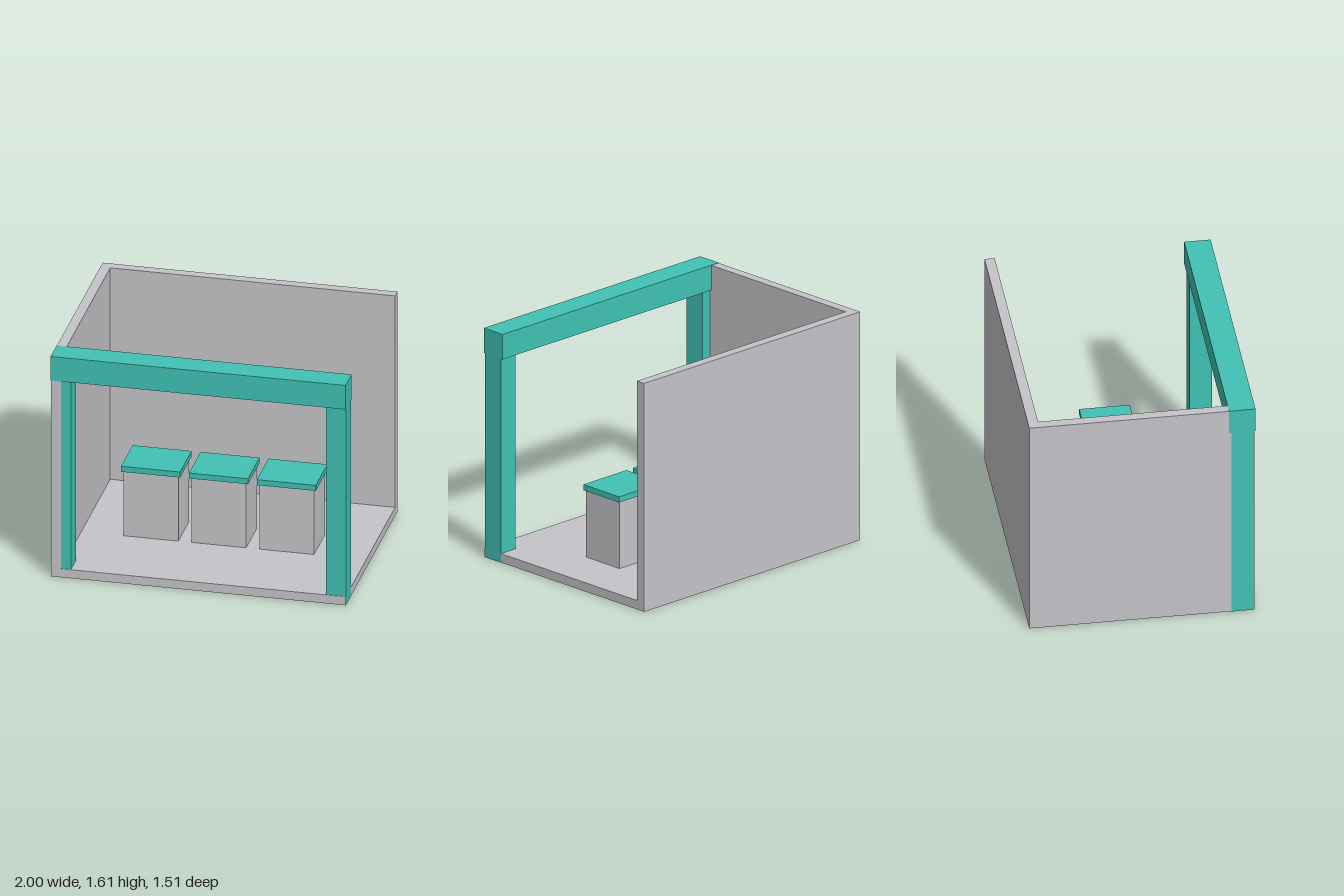
import * as THREE from 'three';

export function createModel() {
  const teal = new THREE.MeshStandardMaterial({ color: 0x41c2b4 });
  teal.name = 'teal';
  const grey = new THREE.MeshStandardMaterial({ color: 0xc5c5c9 });
  grey.name = 'light grey';

  const model = new THREE.Group();
  model.name = 'exhibitionBooth';

  // Adds a box given its [min, max] extent on each axis.
  function box(name, material, [x0, x1], [y0, y1], [z0, z1], parent = model) {
    const mesh = new THREE.Mesh(new THREE.BoxGeometry(x1 - x0, y1 - y0, z1 - z0), material);
    mesh.position.set((x0 + x1) / 2, (y0 + y1) / 2, (z0 + z1) / 2);
    mesh.name = name;
    parent.add(mesh);
  }

  // Floor slab and the two walls, a hair inside the frame so faces never coincide
  const floorTop = 0.063;
  box('floor', grey, [-0.999, 0.999], [0.001, floorTop], [-0.755, 0.749]);
  box('backWall', grey, [-0.999, 0.999], [floorTop, 1.603], [-0.755, -0.687]);
  box('sideWall', grey, [-0.999, -0.932], [floorTop, 1.603], [-0.687, 0.749]);

  // Front gateway: two posts carrying a beam
  const beamBottom = 1.43;
  box('rightPost', teal, [-1, -0.864], [0, beamBottom], [0.594, 0.745]);
  box('leftPost', teal, [0.864, 1], [0, beamBottom], [0.594, 0.745]);
  box('beam', teal, [-1, 1], [beamBottom, 1.605], [0.578, 0.755]);

  // Row of three display counters with overhanging tops
  for (const x of [-0.46, 0, 0.46]) {
    const counter = new THREE.Group();
    counter.name = 'counter';
    counter.position.set(x, 0, -0.005);
    box('counterBody', grey, [-0.185, 0.185], [floorTop, 0.533], [-0.157, 0.157], counter);
    box('counterTop', teal, [-0.2, 0.2], [0.533, 0.573], [-0.169, 0.169], counter);
    model.add(counter);
  }

  return model;
}
